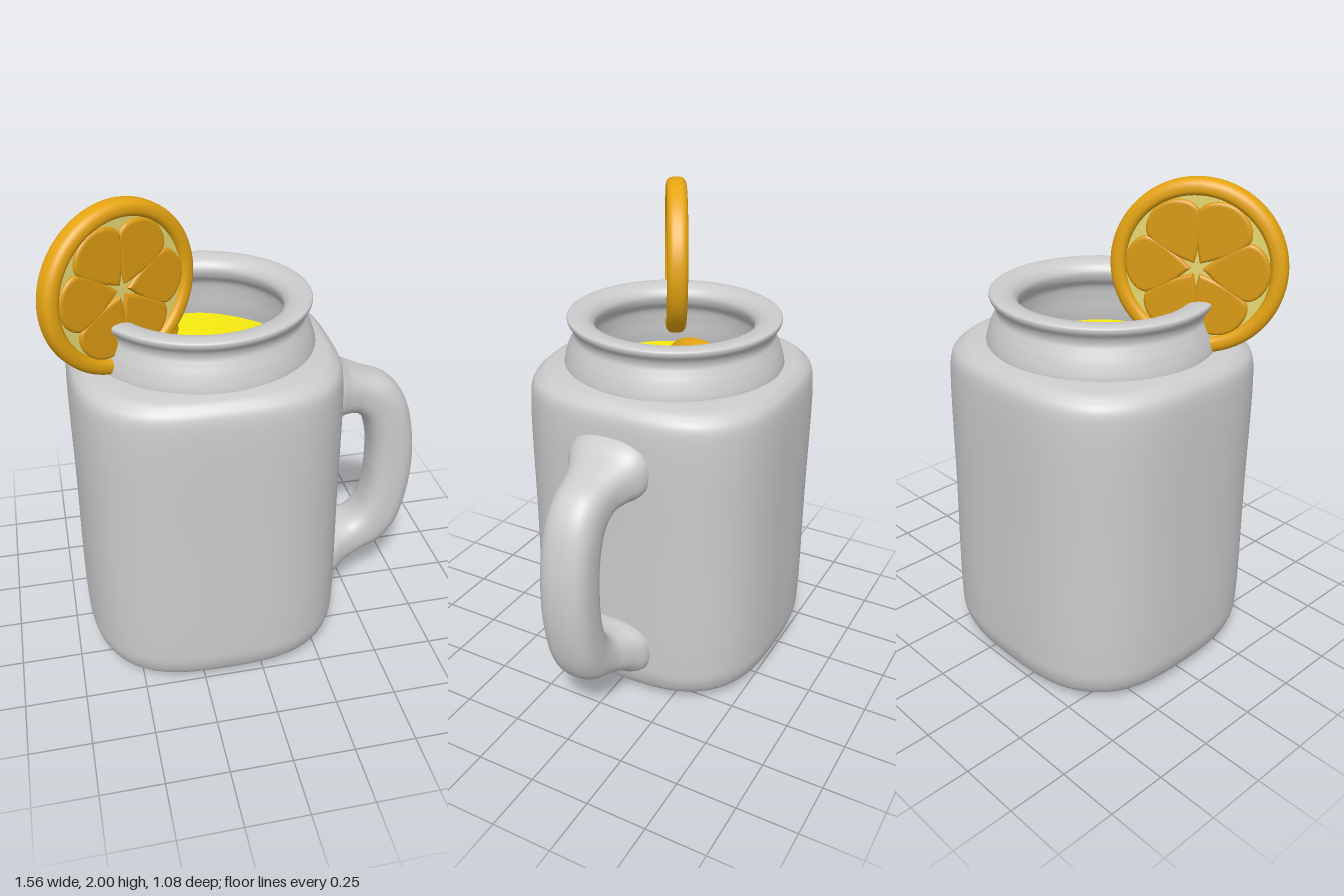
import * as THREE from 'three';

const JAR_X = -0.15;
const glass = new THREE.MeshStandardMaterial({ color: 0xcccccc });
const glassOpen = new THREE.MeshStandardMaterial({ color: 0xcccccc, side: THREE.DoubleSide });
const paint = (color) => new THREE.MeshStandardMaterial({ color });
const peelMat = paint(0xe6a512), pulpMat = paint(0xd99a12), pithMat = paint(0xe6d873);
const drinkMat = new THREE.MeshStandardMaterial({ color: 0xf5ea10, side: THREE.DoubleSide });

function mesh(name, geometry, material) {
  const m = new THREE.Mesh(geometry, material);
  m.name = name;
  return m;
}

// Skin over a list of closed rings, each with the same number of points
function loft(rings) {
  const n = rings[0].length, pos = [], idx = [];
  rings.forEach((ring) => ring.forEach((p) => pos.push(p.x, p.y, p.z)));
  for (let i = 0; i < rings.length - 1; i++) {
    for (let j = 0; j < n; j++) {
      const a = i * n + j, b = i * n + ((j + 1) % n);
      idx.push(a, b, a + n, b, b + n, a + n);
    }
  }
  const g = new THREE.BufferGeometry();
  g.setAttribute('position', new THREE.Float32BufferAttribute(pos, 3));
  g.setIndex(idx);
  g.computeVertexNormals();
  return g;
}

const smooth2 = (pts, count, closed = false) =>
  new THREE.CatmullRomCurve3(pts.map(([x, y]) => new THREE.Vector3(x, y, 0)), closed)
    .getPoints(count).map((p) => new THREE.Vector2(p.x, p.y));

// Rounded-square body: stations of half width, height, squareness
function makeBody() {
  const stations = [
    [0.002, 0.012, 2.3], [0.25, 0.008, 2.5], [0.38, 0, 2.7], [0.45, 0.014, 2.8], [0.51, 0.05, 2.9],
    [0.534, 0.11, 2.9], [0.54, 0.2, 2.9], [0.54, 0.7, 2.9], [0.54, 1.22, 2.9], [0.532, 1.285, 2.9],
    [0.505, 1.325, 2.8], [0.46, 1.345, 2.5], [0.41, 1.35, 2],
  ];
  const path = new THREE.CatmullRomCurve3(stations.map((s) => new THREE.Vector3(...s)));
  const rings = path.getPoints(96).map(({ x: h, y, z: n }) =>
    Array.from({ length: 96 }, (_, j) => {
      const a = (j / 96) * Math.PI * 2, c = Math.cos(a), s = Math.sin(a);
      const r = h / Math.pow(Math.abs(c) ** n + Math.abs(s) ** n, 1 / n);
      return new THREE.Vector3(JAR_X + r * c, y, -r * s);
    }));
  return mesh('jarBody', loft(rings), glass);
}

// Neck: up the outside, over the lip and down the inner wall
function makeNeck() {
  const profile = smooth2([
    [0.455, 1.33], [0.452, 1.36], [0.437, 1.41], [0.422, 1.445], [0.413, 1.47], [0.418, 1.495],
    [0.436, 1.522], [0.437, 1.538], [0.425, 1.545], [0.385, 1.545], [0.345, 1.53], [0.326, 1.5],
    [0.335, 1.465], [0.362, 1.43], [0.372, 1.38], [0.38, 1.3], [0.4, 1.2],
  ], 80);
  const m = mesh('jarNeck', new THREE.LatheGeometry(profile, 96), glassOpen);
  m.position.x = JAR_X;
  return m;
}

// Handle: inner edge, outer edge and half width for the upper half, mirrored below
function makeHandle() {
  const MID = 0.665;
  const upper = [
    [0.34, 0.965, 0.34, 1.225, 0.18], [0.4, 0.955, 0.405, 1.205, 0.172], [0.45, 0.955, 0.46, 1.165, 0.142],
    [0.505, 0.94, 0.54, 1.13, 0.114], [0.55, 0.89, 0.65, 1.085, 0.107], [0.575, 0.81, 0.727, 0.99, 0.107],
    [0.584, 0.735, 0.77, 0.84, 0.107],
  ];
  const lower = upper.map(([a, b, c, d, w]) => [a, 2 * MID - b, c, 2 * MID - d, w]).reverse();
  const all = [...upper, [0.585, MID, 0.785, MID, 0.107], ...lower];
  const curve = (fn) => new THREE.CatmullRomCurve3(all.map(fn), false, 'catmullrom');
  const inner = curve((s) => new THREE.Vector3(s[0], s[1], 0));
  const outer = curve((s) => new THREE.Vector3(s[2], s[3], 0));
  const width = curve((s) => new THREE.Vector3(s[4], 0, 0));
  const soft = (v) => Math.sign(v) * Math.abs(v) ** 0.78;
  const rings = Array.from({ length: 71 }, (_, i) => {
    const t = i / 70, p = inner.getPoint(t), q = outer.getPoint(t), w = width.getPoint(t).x;
    const mid = p.clone().lerp(q, 0.5), half = q.clone().sub(p).multiplyScalar(0.5);
    return Array.from({ length: 40 }, (_, j) => {
      const a = (j / 40) * Math.PI * 2;
      const v = mid.clone().addScaledVector(half, soft(Math.cos(a)));
      v.z = w * soft(Math.sin(a));
      return v;
    });
  });
  return mesh('handle', loft(rings), glass);
}

// Drink surface with faint ripples
function makeDrink() {
  const g = new THREE.RingGeometry(0.001, 0.385, 64, 16).rotateX(-Math.PI / 2);
  const p = g.attributes.position;
  for (let i = 0; i < p.count; i++) {
    p.setY(i, 0.006 * Math.sin(9 * p.getX(i) + 4 * p.getZ(i)) * Math.cos(8 * p.getZ(i)));
  }
  g.computeVertexNormals();
  const m = mesh('drink', g, drinkMat);
  m.position.set(JAR_X, 1.27, 0);
  return m;
}

// Citrus slice standing in the xy plane
function makeSlice(name) {
  const slice = new THREE.Group();
  slice.name = name;
  const rim = smooth2([
    [0.285, -0.042], [0.312, -0.041], [0.328, -0.026], [0.331, 0], [0.328, 0.026], [0.312, 0.041],
    [0.285, 0.042], [0.272, 0.03], [0.27, 0], [0.272, -0.03],
  ], 40, true);
  slice.add(mesh('peel', new THREE.LatheGeometry(rim, 72).rotateX(Math.PI / 2), peelMat));
  slice.add(mesh('pith', new THREE.CylinderGeometry(0.28, 0.28, 0.04, 64).rotateX(Math.PI / 2), pithMat));

  // Teardrop wedge of pulp
  const drop = new THREE.Shape();
  drop.moveTo(0.022, 0);
  drop.bezierCurveTo(0.07, -0.045, 0.13, -0.095, 0.185, -0.108);
  drop.bezierCurveTo(0.225, -0.115, 0.272, -0.06, 0.272, 0);
  drop.bezierCurveTo(0.272, 0.06, 0.225, 0.115, 0.185, 0.108);
  drop.bezierCurveTo(0.13, 0.095, 0.07, 0.045, 0.022, 0);
  const wedge = new THREE.ExtrudeGeometry(drop, {
    depth: 0.044, bevelThickness: 0.012, bevelSize: 0.014, bevelOffset: -0.014, bevelSegments: 4, curveSegments: 14,
  }).translate(0, 0, -0.022);
  for (let i = 0; i < 6; i++) {
    const m = mesh('pulpSegment', wedge, pulpMat);
    m.rotation.z = (i * Math.PI) / 3;
    slice.add(m);
  }
  slice.rotation.order = 'YXZ';
  return slice;
}

export function createModel() {
  const model = new THREE.Group();
  model.name = 'drinkingJar';
  model.add(makeBody(), makeNeck(), makeHandle(), makeDrink());

  // Slice hung on the lip
  const garnish = makeSlice('lipSlice');
  garnish.position.set(-0.48, 1.669, 0.17);
  garnish.rotation.y = 0.51;
  model.add(garnish);

  // Slice half sunk in the drink
  const floating = makeSlice('sunkenSlice');
  floating.position.set(-0.4, 1.09, -0.1);
  floating.rotation.set(0.45, 1.22, 0);
  floating.scale.setScalar(0.95);
  model.add(floating);
  return model;
}
